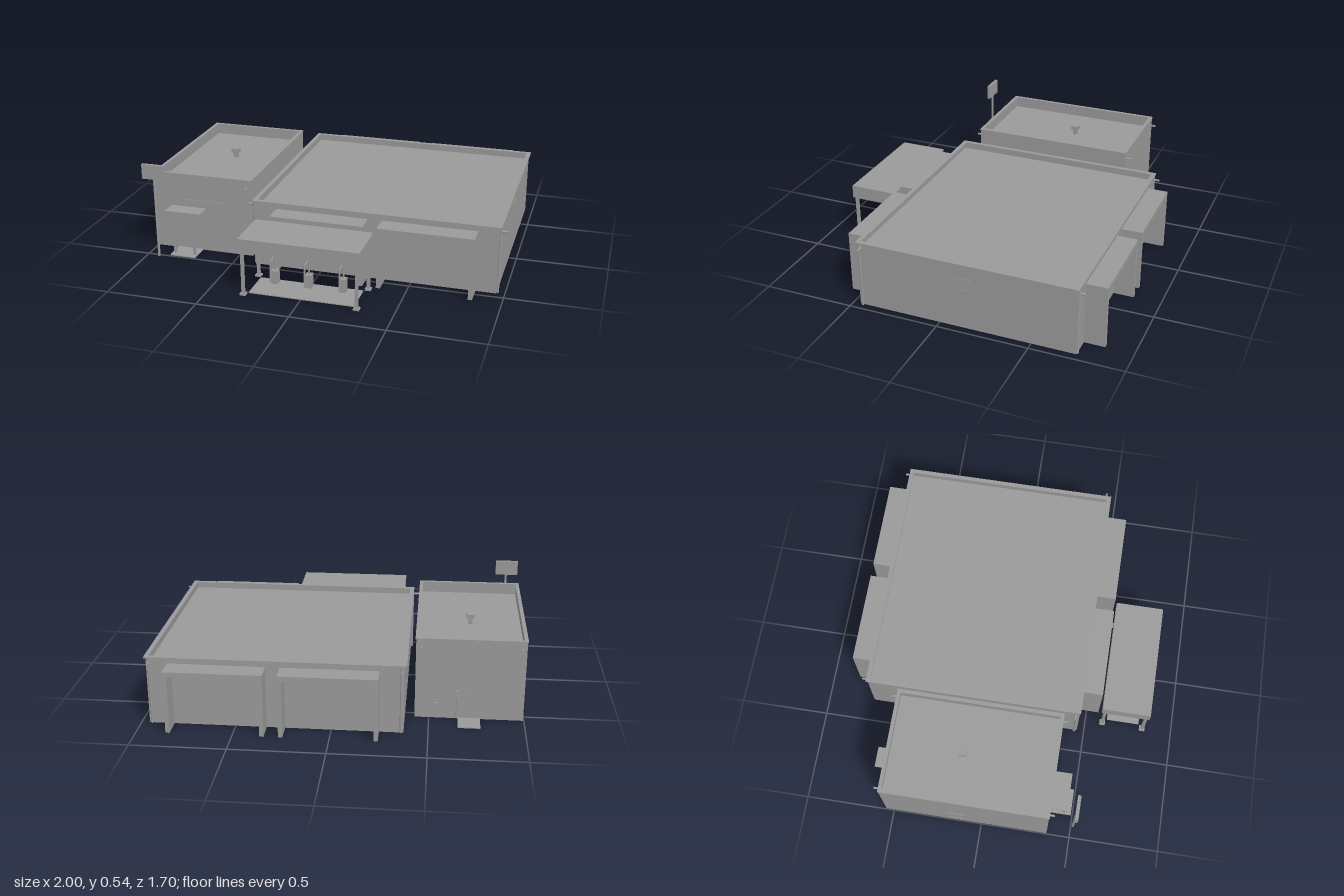
import * as THREE from 'three';

const grey = new THREE.MeshStandardMaterial({ color: 0x999999 });
grey.name = 'concrete grey';

// Box given by its min and max on each axis
function box(parent, name, x0, x1, y0, y1, z0, z1) {
  const m = new THREE.Mesh(new THREE.BoxGeometry(x1 - x0, y1 - y0, z1 - z0), grey);
  m.position.set((x0 + x1) / 2, (y0 + y1) / 2, (z0 + z1) / 2);
  m.name = name;
  parent.add(m);
}

// Round pipe made of straight runs through the points
function tube(parent, name, points, r) {
  const v = points.map(p => new THREE.Vector3(...p));
  for (let i = 1; i < v.length; i++) {
    const run = v[i].clone().sub(v[i - 1]);
    const overlap = v.length > 2 ? r : 0;
    const m = new THREE.Mesh(new THREE.CylinderGeometry(r, r, run.length() + overlap, 10), grey);
    m.position.copy(v[i]).add(v[i - 1]).multiplyScalar(0.5);
    m.quaternion.setFromUnitVectors(new THREE.Vector3(0, 1, 0), run.normalize());
    m.name = name;
    parent.add(m);
  }
}

// Rectangular ring of walls, open above and below
function ring(parent, name, x0, x1, z0, z1, t, y0, y1) {
  const rect = (path, d) => {
    path.moveTo(x0 + d, -z1 + d);
    path.lineTo(x1 - d, -z1 + d);
    path.lineTo(x1 - d, -z0 - d);
    path.lineTo(x0 + d, -z0 - d);
    path.closePath();
    return path;
  };
  const shape = rect(new THREE.Shape(), 0);
  shape.holes.push(rect(new THREE.Path(), t));
  const g = new THREE.ExtrudeGeometry(shape, { depth: y1 - y0, bevelEnabled: false });
  g.rotateX(-Math.PI / 2);
  const m = new THREE.Mesh(g, grey);
  m.position.y = y0;
  m.name = name;
  parent.add(m);
}

// Window on a side wall: a thin pane within a slightly raised frame
function sideWindow(parent, x, out, y0, y1, z0, z1) {
  const w = group(parent, 'window');
  const span = d => [Math.min(x, x + out * d), Math.max(x, x + out * d)];
  box(w, 'windowPane', ...span(0.001), y0, y1, z0, z1);
  for (const y of [y0, y1 - 0.006]) box(w, 'windowFrame', ...span(0.003), y, y + 0.006, z0, z1);
  for (const z of [z0, z1 - 0.006]) box(w, 'windowFrame', ...span(0.003), y0, y1, z, z + 0.006);
}

function group(parent, name) {
  const g = new THREE.Group();
  g.name = name;
  parent.add(g);
  return g;
}

export function createModel() {
  const model = new THREE.Group();
  model.name = 'workshop and office';

  // Large hall: walls, recessed roof, parapet cap
  const hall = group(model, 'hall');
  ring(hall, 'hallWalls', -0.374, 0.957, -0.738, 0.459, 0.012, 0, 0.366);
  ring(hall, 'hallCap', -0.385, 0.968, -0.745, 0.463, 0.024, 0.366, 0.374);
  box(hall, 'hallRoof', -0.364, 0.947, 0.33, 0.337, -0.728, 0.449);
  sideWindow(hall, 0.957, 1, 0.222, 0.287, -0.182, -0.09);

  // Overflow spouts and downpipes of the hall
  for (const [wx, s] of [[-0.374, -1], [0.957, 1]]) {
    tube(hall, 'frontSpout', [[wx, 0.343, 0.435], [s < 0 ? -0.415 : 1, 0.343, 0.435]], 0.006);
    tube(hall, 'frontDownpipe', [[wx + s * 0.004, 0, 0.443], [wx + s * 0.004, 0.366, 0.443]], 0.007);
  }
  for (const x of [-0.36, 0.943]) {
    tube(hall, 'backSpout', [[x, 0.343, -0.735], [x, 0.343, -0.772]], 0.006);
    tube(hall, 'backDownpipe', [[x, 0, -0.739], [x, 0.366, -0.739]], 0.007);
  }

  // Loading bay surrounds, two in front and two behind
  for (const x of [-0.248, 0.337]) {
    for (const [z0, z1] of [[0.45, 0.57], [-0.85, -0.73]]) {
      const bay = group(hall, 'loadingBay');
      box(bay, 'bayRoof', x, x + 0.51, 0.312, 0.34, z0, z1);
      box(bay, 'bayRightWall', x, x + 0.022, 0, 0.312, z0, z1);
      box(bay, 'bayLeftWall', x + 0.488, x + 0.51, 0, 0.312, z0, z1);
    }
  }

  // Smaller office block
  const office = group(model, 'office');
  ring(office, 'officeWalls', -0.996, -0.424, -0.545, 0.371, 0.012, 0, 0.444);
  ring(office, 'officeCap', -1, -0.42, -0.548, 0.374, 0.02, 0.444, 0.45);
  box(office, 'officeRoof', -0.986, -0.434, 0.378, 0.386, -0.535, 0.361);
  sideWindow(office, -0.996, -1, 0.06, 0.165, -0.19, -0.09);
  box(office, 'ventStack', -0.722, -0.698, 0.385, 0.425, -0.152, -0.128);
  box(office, 'ventCap', -0.731, -0.689, 0.42, 0.442, -0.161, -0.119);
  for (const x of [-0.97, -0.45]) {
    tube(office, 'frontSpout', [[x, 0.403, 0.36], [x, 0.403, 0.4]], 0.006);
    tube(office, 'backSpout', [[x, 0.403, -0.535], [x, 0.403, -0.577]], 0.006);
  }
  box(office, 'wallPanel', -0.83, -0.57, 0.26, 0.3, 0.37, 0.375);

  // Entrance porch
  const porch = group(office, 'porch');
  box(porch, 'porchRoof', -0.905, -0.695, 0.246, 0.256, 0.365, 0.465);
  box(porch, 'porchBeam', -0.895, -0.705, 0.232, 0.246, 0.445, 0.46);
  box(porch, 'porchSlab', -0.875, -0.725, 0, 0.005, 0.365, 0.492);
  for (const s of [-1, 1]) {
    const x = -0.8 + s * 0.058;
    box(porch, 'porchPost', x - 0.007, x + 0.007, 0, 0.235, 0.444, 0.458);
    const b = -0.8 + s * 0.072;
    box(porch, 'porchLamp', b - 0.004, b + 0.004, 0.18, 0.205, 0.37, 0.38);
  }

  // Rear door, step and meter boxes
  box(office, 'rearDoor', -0.765, -0.65, 0, 0.14, -0.546, -0.543);
  box(office, 'rearStep', -0.77, -0.652, 0, 0.005, -0.66, -0.543);
  box(office, 'meterBox', -0.542, -0.518, 0.055, 0.09, -0.555, -0.543);
  box(office, 'switchBox', -0.655, -0.635, 0.13, 0.16, -0.555, -0.543);
  tube(office, 'conduit', [[-0.645, 0, -0.547], [-0.645, 0.13, -0.547]], 0.003);

  // Canopy on four posts
  const canopy = group(model, 'canopy');
  box(canopy, 'canopyRoof', -0.323, 0.323, 0.245, 0.32, 0.58, 0.848);
  for (const x of [-0.305, 0.305]) {
    for (const z of [0.6, 0.832]) {
      box(canopy, 'canopyPost', x - 0.008, x + 0.008, 0, 0.245, z - 0.008, z + 0.008);
      box(canopy, 'postFoot', x - 0.016, x + 0.016, 0, 0.01, z - 0.016, z + 0.016);
    }
  }
  box(canopy, 'island', -0.285, 0.285, 0, 0.005, 0.625, 0.81);

  // Three dispensers with bent arms
  for (const x of [-0.187, 0, 0.187]) {
    const d = group(canopy, 'dispenser');
    box(d, 'dispenserBody', x - 0.017, x + 0.017, 0.004, 0.08, 0.643, 0.682);
    tube(d, 'dispenserArm', [[x, 0.08, 0.662], [x, 0.163, 0.662], [x, 0.163, 0.738], [x, 0.045, 0.738]], 0.005);
  }

  // Roadside sign
  const sign = group(model, 'sign');
  tube(sign, 'signPole', [[-0.932, 0, 0.512], [-0.932, 0.47, 0.512]], 0.007);
  box(sign, 'signBoard', -1, -0.87, 0.457, 0.541, 0.503, 0.52);

  return model;
}
